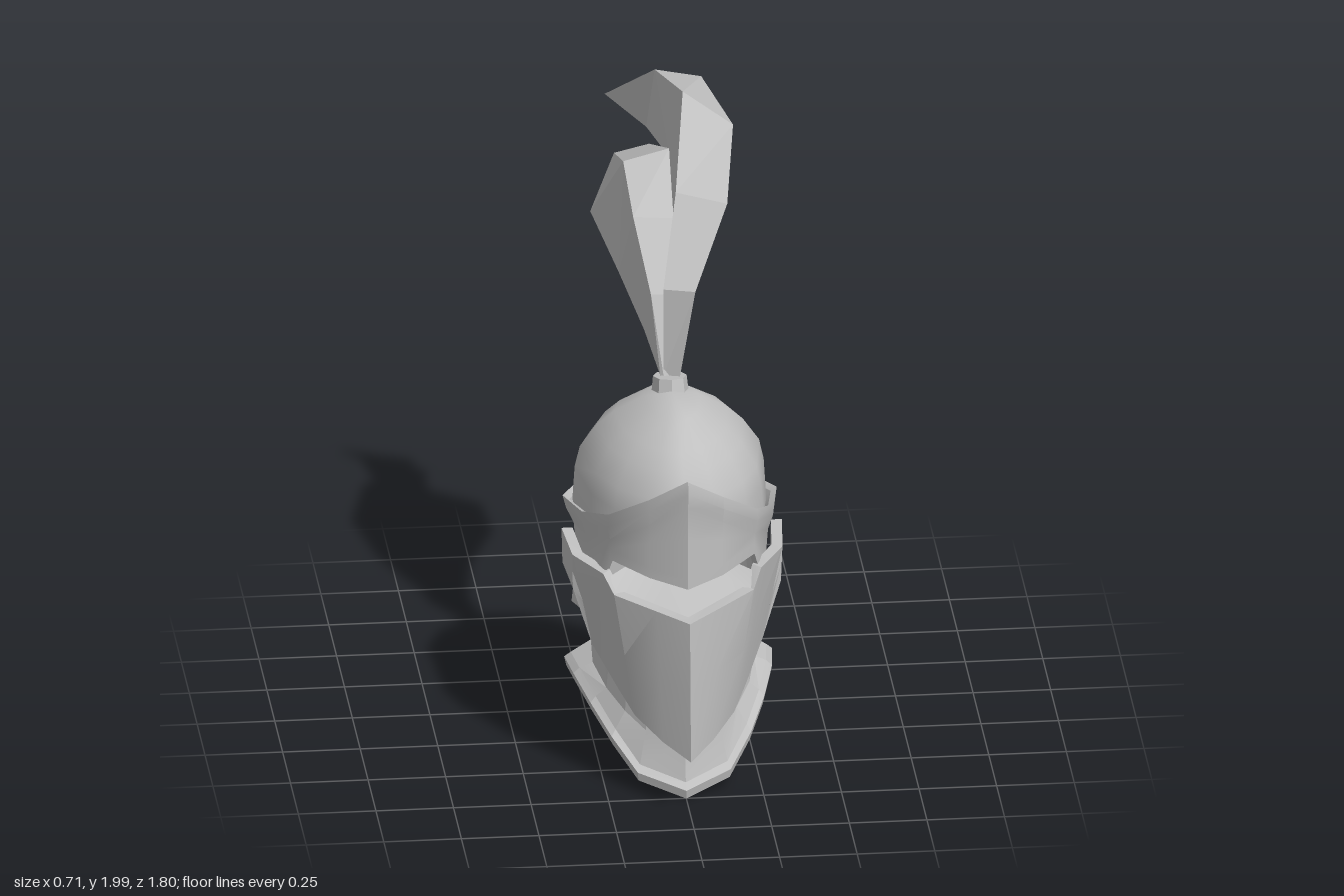
import * as THREE from 'three';
import { toCreasedNormals } from 'three/addons/utils/BufferGeometryUtils.js';

const steel = new THREE.MeshStandardMaterial({ color: 0xc0c0c0, side: THREE.DoubleSide });
steel.name = 'steel';
const V = (x, y, z) => new THREE.Vector3(x, y, z);

// Skins rows of points; closeCols joins last column to first, closeRows last row to first
function loft(name, rows, { closeCols = true, closeRows = false, crease = 0.6 } = {}) {
  const pos = [];
  const tri = (a, b, c) => {
    if (a.distanceTo(b) < 1e-5 || b.distanceTo(c) < 1e-5 || a.distanceTo(c) < 1e-5) return;
    for (const p of [a, b, c]) pos.push(p.x, p.y, p.z);
  };
  const R = rows.length, C = rows[0].length;
  for (let r = 0; r < (closeRows ? R : R - 1); r++) {
    for (let c = 0; c < (closeCols ? C : C - 1); c++) {
      const r2 = (r + 1) % R, c2 = (c + 1) % C;
      tri(rows[r][c], rows[r][c2], rows[r2][c2]);
      tri(rows[r][c], rows[r2][c2], rows[r2][c]);
    }
  }
  const g = new THREE.BufferGeometry();
  g.setAttribute('position', new THREE.Float32BufferAttribute(pos, 3));
  const mesh = new THREE.Mesh(toCreasedNormals(g, crease), steel);
  mesh.name = name;
  return mesh;
}

// Mirrors a half row that ends on the front centre line; a closed ring also starts on the back one
function mirror(half, ring = true) {
  const other = half.slice(ring ? 1 : 0, -1).reverse().map(p => V(-p.x, p.y, p.z));
  return [...half, ...other];
}

// Half plan of the helmet, back to front: x, z, upper edge, lower edge, inset below the rim
const PLAN = [
  [0, -0.08, 0.85, 0.41, 0.9], [0.13, -0.05, 0.85, 0.42, 0.9], [0.29, 0.08, 0.835, 0.45, 0.9],
  [0.345, 0.22, 0.855, 0.49, 0.9], [0.31, 0.48, 0.91, 0.555, 0.94], [0.24, 0.63, 0.96, 0.80, 0.97],
  [0.12, 0.755, 1.06, 0.785, 0.985], [0, 0.81, 1.14, 0.765, 1],
];
const MID = 0.37;

// Skull, narrower across than along towards the crown: y, x scale, z scale
function dome() {
  const levels = [[1.24, 0, 0], [1.21, 0.29, 0.42], [1.15, 0.58, 0.68], [1.1, 0.75, 0.8],
    [1.02, 0.92, 0.93], [0.95, 0.97, 0.98], [0.8, 1, 1]];
  const rows = levels.map(([y, sx, sz]) => mirror(PLAN.map(([x, z]) =>
    V(x * sx * 0.91, y, 0.34 - 0.03 * (1 - sz) + (z - MID) * sz * 0.91))));
  return loft('skullDome', rows, { crease: 1.0 });
}

// Brow plate and neck skirt, with a rolled upper rim and a thick lower edge
function browBand() {
  const row = f => mirror(PLAN.map(([x, z, top, bot, inset]) => {
    const [s, y] = f(top, bot, inset);
    return V(x * s, y, MID + (z - MID) * s);
  }));
  return loft('browBand', [
    row(t => [0.8, t - 0.1]),
    row(t => [0.94, t - 0.01]),
    row(t => [1, t]),
    row((t, b, i) => [(1 + i) / 2 + 0.02, t - 0.04]),
    row((t, b, i) => [i, t - 0.09]),
    row((t, b, i) => [i - 0.025 * (i < 0.95), t + (b - t) * 0.55]),
    row((t, b, i) => [i + 0.01 * (i < 0.95), b + 0.035]),
    row((t, b, i) => [i + 0.02 * (i < 0.95), b]),
    row((t, b, i) => [i - 0.06, b]),
    row((t, b, i) => [i - 0.06, b + 0.05]),
  ], { crease: 0.5 });
}

// Pointed face guard with side arms: upper x, z, y then lower x, z, y
function visor() {
  const cols = [
    [0.345, 0.265, 0.73, 0.345, 0.265, 0.69], [0.355, 0.285, 0.77, 0.352, 0.285, 0.65],
    [0.34, 0.455, 0.757, 0.335, 0.455, 0.63], [0.338, 0.47, 0.755, 0.275, 0.47, 0.44],
    [0.255, 0.62, 0.75, 0.205, 0.62, 0.345], [0.225, 0.68, 0.70, 0.16, 0.70, 0.285],
    [0.1, 0.79, 0.685, 0.08, 0.81, 0.235], [0, 0.87, 0.67, 0, 0.9, 0.2],
  ];
  const row = (t, s) => mirror(cols.map(([x, z, y, x2, z2, y2], i) => {
    const k = i === 0 ? 1 : s;
    return V((x + (x2 - x) * t) * k, y + (y2 - y) * t, 0.3 + (z + (z2 - z) * t - 0.3) * k);
  }), false);
  return loft('visor', [row(0, 1), row(0.5, 1), row(1, 1), row(1, 0.92), row(0.5, 0.9), row(0, 0.9)],
    { closeCols: false, closeRows: true, crease: 0.4 });
}

// Sloping floor behind the eye slit
function slitFloor() {
  const edge = mirror([V(0.24, 0.735, 0.62), V(0.21, 0.69, 0.68), V(0.09, 0.675, 0.78), V(0, 0.66, 0.84)], false);
  return loft('slitFloor', [edge.map(() => V(0, 0.78, 0.4)), edge], { closeCols: false });
}

// Neck collar flaring to a thick rim, closed below
function gorget() {
  const rim = [[0, 0.2, -0.02], [0.18, 0.205, 0], [0.335, 0.24, 0.17], [0.32, 0.245, 0.32],
    [0.28, 0.205, 0.47], [0.225, 0.14, 0.6], [0.15, 0.05, 0.69], [0, 0.01, 0.76]];
  const foot = [[0, 0.33, 0.06], [0.14, 0.33, 0.075], [0.25, 0.33, 0.18], [0.26, 0.32, 0.34],
    [0.23, 0.29, 0.48], [0.18, 0.25, 0.58], [0.12, 0.21, 0.65], [0, 0.18, 0.71]];
  const ring = (pts, s, dy, y) => mirror(pts.map(p => V(p[0] * s, y ?? p[1] + dy, 0.36 + (p[2] - 0.36) * s)));
  return loft('gorget', [
    ring(foot, 0.9, 0, 0.6), ring(foot, 0.94, 0, 0.43), ring(foot, 1, 0),
    ring(rim, 0.94, 0.05), ring(rim, 1, 0.03), ring(rim, 0.98, 0), ring(rim, 0, 0, 0.185),
  ], { crease: 0.2 });
}

// Faceted feather: rails of points, skinned and closed to a tip
function feather(name, rails, tip) {
  const rows = rails[0].map((_, i) => rails.map(rail => V(...rail[i])));
  rows.unshift(rails.map(() => V(0, 1.24, 0.23)));
  rows.push(rails.map(() => V(...tip)));
  return loft(name, rows, { crease: 0.05 });
}

export function createModel() {
  const model = new THREE.Group();
  model.name = 'plumedHelmet';
  model.add(dome(), browBand(), visor(), slitFloor(), gorget());

  // Socket that holds the plume
  const socket = new THREE.Mesh(
    toCreasedNormals(new THREE.CylinderGeometry(0.068, 0.076, 0.06, 8), 0.5), steel);
  socket.name = 'plumeSocket';
  socket.position.set(0, 1.232, 0.23);
  socket.rotation.x = -0.18;
  socket.scale.x = 0.8;
  model.add(socket);

  const plume = new THREE.Group();
  plume.name = 'plume';
  plume.add(
    feather('upperFeather', [
      [[0.03, 1.26, 0.245], [0.08, 1.56, 0.25], [0.2, 1.79, 0.08], [0.25, 1.93, -0.23], [0.19, 1.92, -0.65]],
      [[0.02, 1.26, 0.2], [0.03, 1.5, 0.12], [0.04, 1.65, -0.1], [0.06, 1.76, -0.38], [0.02, 1.72, -0.72]],
      [[-0.02, 1.26, 0.22], [-0.02, 1.56, 0.22], [0.04, 1.81, 0.02], [0.1, 2, -0.35], [0.04, 1.95, -0.65]],
    ], [-0.1, 1.78, -0.86]),
    feather('middleFeather', [
      [[-0.03, 1.26, 0.22], [-0.07, 1.37, 0.1], [-0.13, 1.48, -0.12], [-0.19, 1.56, -0.43], [-0.1, 1.52, -0.7]],
      [[-0.02, 1.26, 0.23], [-0.05, 1.5, 0.12], [-0.09, 1.7, -0.05], [-0.1, 1.8, -0.27], [-0.09, 1.66, -0.66]],
      [[0.02, 1.26, 0.23], [0, 1.5, 0.12], [0.04, 1.69, -0.05], [0.05, 1.83, -0.29], [0.02, 1.7, -0.63]],
      [[0.02, 1.26, 0.2], [0.03, 1.45, 0.12], [0.05, 1.57, -0.1], [0.06, 1.6, -0.43], [0.07, 1.58, -0.68]],
    ], [0.04, 1.47, -0.9]),
    feather('lowerFeather', [
      [[0.03, 1.26, 0.22], [0.06, 1.44, 0.12], [0.14, 1.55, -0.1], [0.22, 1.52, -0.42], [0.18, 1.45, -0.62]],
      [[0, 1.26, 0.19], [0.03, 1.4, 0.04], [0.08, 1.42, -0.15], [0.16, 1.37, -0.45], [0.05, 1.27, -0.75]],
      [[-0.01, 1.26, 0.22], [0, 1.47, 0.12], [0.05, 1.58, -0.1], [0.1, 1.585, -0.42], [0.05, 1.48, -0.65]],
    ], [-0.08, 1.27, -0.9]),
  );
  model.add(plume);
  return model;
}
